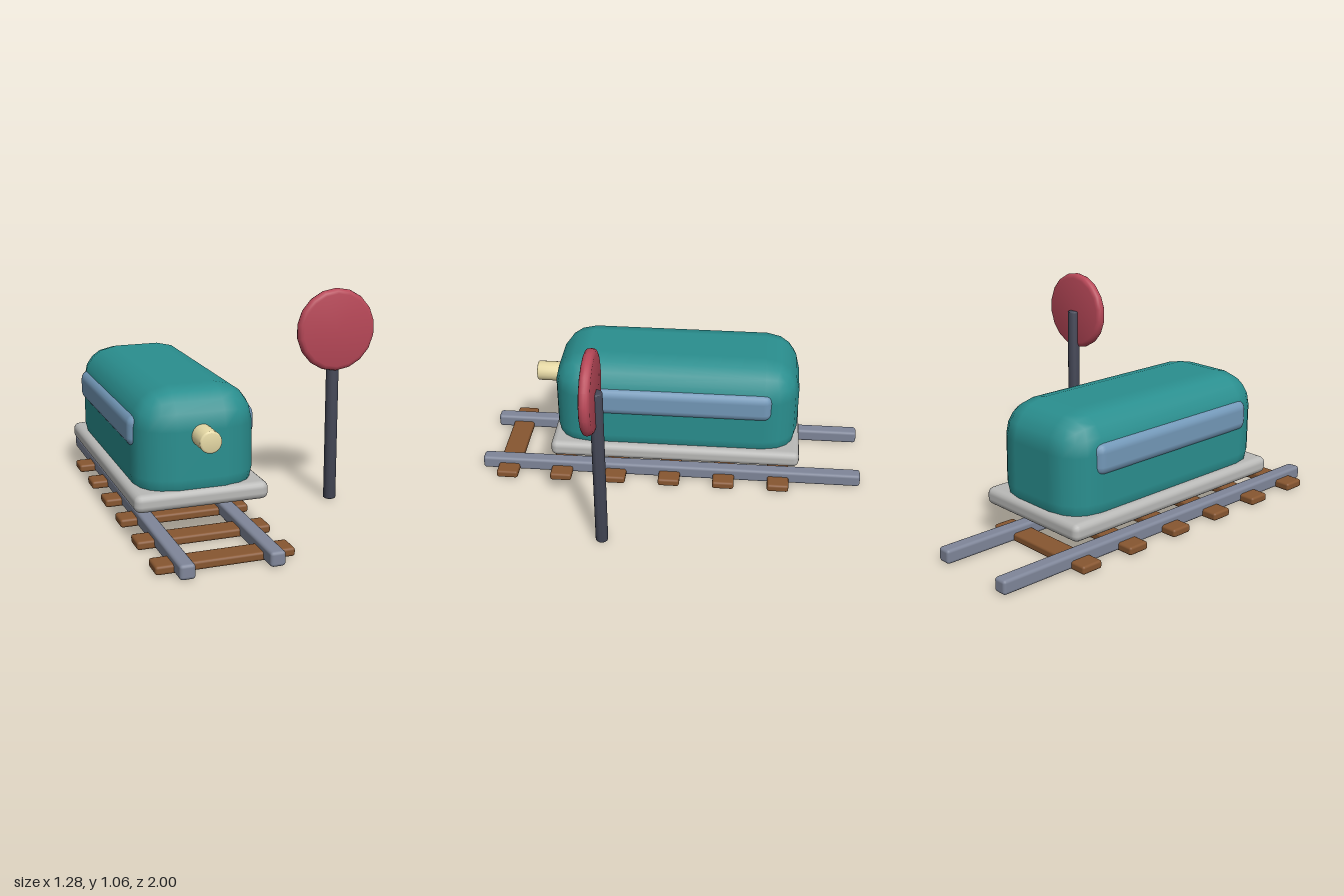
import * as THREE from 'three';
import { RoundedBoxGeometry } from 'three/addons/geometries/RoundedBoxGeometry.js';
import { toCreasedNormals } from 'three/addons/utils/BufferGeometryUtils.js';

const paint = (color) => new THREE.MeshStandardMaterial({ color });
const teal = paint(0x2a8f8f);
const grey = paint(0xb9b9b7);
const glass = paint(0x7398b8);
const cream = paint(0xe6d9a5);
const steel = paint(0x7f8699);
const wood = paint(0x875630);
const dark = paint(0x444756);
const red = paint(0xb84858);

export function createModel() {
  const model = new THREE.Group();
  model.name = 'trainScene';

  function add(parent, name, geometry, material, x, y, z) {
    const mesh = new THREE.Mesh(geometry, material);
    mesh.name = name;
    mesh.position.set(x, y, z);
    parent.add(mesh);
    return mesh;
  }

  const box = (w, h, d, r, segments = 2) => new RoundedBoxGeometry(w, h, d, segments, r);

  // Upright cylinder with softened rims, centred on its own middle
  function softCylinder(radius, height, bevel, sides) {
    const h = height / 2;
    const profile = [new THREE.Vector2(0, -h)];
    for (const side of [-1, 1]) {
      for (let i = 0; i <= 3; i++) {
        const a = ((side < 0 ? i - 3 : i) / 3) * Math.PI / 2;
        profile.push(new THREE.Vector2(
          radius - bevel + Math.cos(a) * bevel,
          side * (h - bevel) + Math.sin(a) * bevel));
      }
    }
    profile.push(new THREE.Vector2(0, h));
    return toCreasedNormals(new THREE.LatheGeometry(profile, sides), 0.6);
  }

  const trackX = -0.328;

  // Track: two rails over evenly spaced sleepers
  const track = new THREE.Group();
  track.name = 'track';
  model.add(track);
  for (const side of [-1, 1]) {
    add(track, side > 0 ? 'leftRail' : 'rightRail',
      box(0.07, 0.068, 2, 0.015), steel, trackX + side * 0.2, 0.038, 0);
  }
  for (let i = -2; i <= 3; i++) {
    add(track, 'sleeper', box(0.628, 0.04, 0.112, 0.012), wood, trackX, 0.023, i * 2 / 7);
  }

  // Carriage: rounded body through a footplate, side windows and a front lamp
  const carriage = new THREE.Group();
  carriage.name = 'carriage';
  model.add(carriage);
  add(carriage, 'body', box(0.57, 0.57, 1.255, 0.175), teal, trackX, 0.403, -0.028);
  add(carriage, 'footplate', box(0.628, 0.084, 1.284, 0.032), grey, trackX, 0.203, -0.029);
  for (const side of [-1, 1]) {
    add(carriage, side > 0 ? 'leftWindow' : 'rightWindow',
      box(0.1, 0.152, 0.985, 0.045), glass, trackX + side * 0.25, 0.492, -0.028);
  }
  const lamp = add(carriage, 'headlamp', softCylinder(0.051, 0.23, 0.008, 20), cream, trackX, 0.49, 0.6);
  lamp.rotation.x = Math.PI / 2;

  // Signal: round disc mounted on the front of a post
  const signal = new THREE.Group();
  signal.name = 'signal';
  model.add(signal);
  add(signal, 'signalPost', softCylinder(0.031, 0.856, 0.008, 14), dark, 0.44, 0.432, 0.286);
  const disc = add(signal, 'signalDisc', softCylinder(0.2, 0.052, 0.024, 18), red, 0.44, 0.86, 0.313);
  disc.rotation.x = -Math.PI / 2;

  return model;
}
